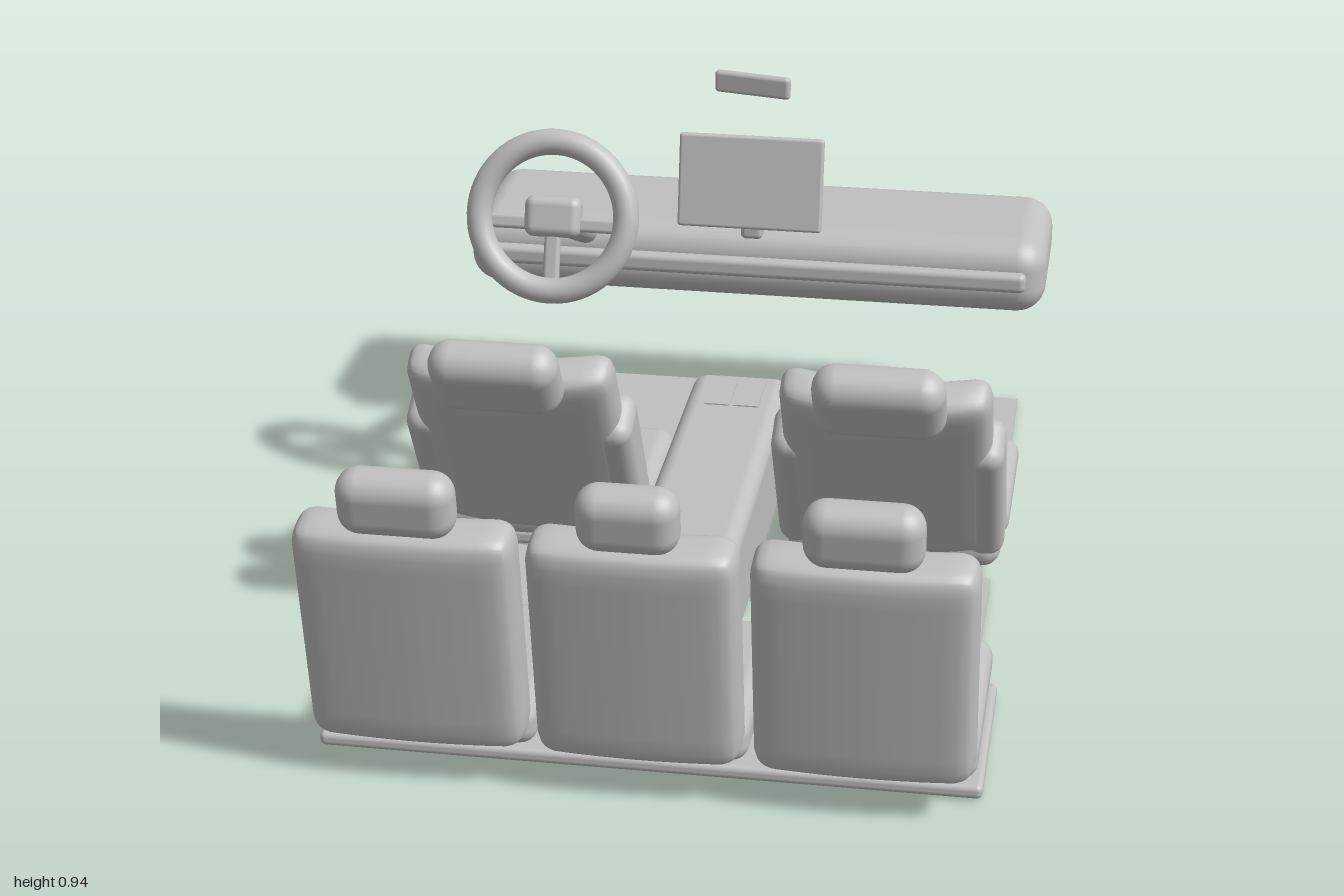
import * as THREE from 'three';
import { mergeVertices } from 'three/addons/utils/BufferGeometryUtils.js';
import { RoundedBoxGeometry } from 'three/addons/geometries/RoundedBoxGeometry.js';

const grey = new THREE.MeshStandardMaterial({ color: 0xc0c0c0 });
grey.name = 'light grey';

function add(parent, name, geometry, x, y, z, rx = 0, ry = 0) {
  const mesh = new THREE.Mesh(geometry, grey);
  mesh.name = name;
  mesh.position.set(x, y, z);
  mesh.rotation.set(rx, ry, 0);
  parent.add(mesh);
  return mesh;
}

const rbox = (w, h, d, r) => new RoundedBoxGeometry(w, h, d, 4, r);

// Rounded cushion whose side edges curve forward (towards -z)
function bentCushion(w, h, d, r, bend) {
  const box = new THREE.BoxGeometry(2, 2, 2, 16, 16, 12);
  box.deleteAttribute('uv');
  box.deleteAttribute('normal');
  const g = mergeVertices(box);
  const half = new THREE.Vector3(w / 2, h / 2, d / 2);
  const inner = half.clone().subScalar(r);
  const p = new THREE.Vector3(), q = new THREE.Vector3();
  const pos = g.attributes.position;
  const spread = (t) => Math.sin(t * Math.PI / 2);
  for (let i = 0; i < pos.count; i++) {
    p.fromBufferAttribute(pos, i);
    p.set(spread(p.x), spread(p.y), spread(p.z)).multiply(half);
    q.copy(p).clamp(inner.clone().negate(), inner);
    p.sub(q).setLength(r).add(q);
    pos.setXYZ(i, p.x, p.y, p.z - bend * p.x * p.x);
  }
  g.computeVertexNormals();
  return g;
}

// Round bar between two points
function rod(parent, name, a, b, r) {
  const path = new THREE.LineCurve3(new THREE.Vector3(...a), new THREE.Vector3(...b));
  const dir = path.v2.clone().sub(path.v1);
  const mesh = add(parent, name, new THREE.CylinderGeometry(r, r, dir.length(), 24), 0, 0, 0);
  path.getPoint(0.5, mesh.position);
  mesh.quaternion.setFromUnitVectors(new THREE.Vector3(0, 1, 0), dir.normalize());
}

function frontSeat(side) {
  const seat = new THREE.Group();
  seat.name = side > 0 ? 'leftFrontSeat' : 'rightFrontSeat';
  seat.position.x = side * 0.385;
  const tilt = 0.52;
  add(seat, 'seatBase', rbox(0.34, 0.035, 0.33, 0.012), 0, 0.0175, -0.262);
  add(seat, 'seatCushion', rbox(0.46, 0.09, 0.44, 0.04), 0, 0.075, -0.29);
  add(seat, 'cushionBolster', rbox(0.08, 0.07, 0.37, 0.03), side * 0.205, 0.135, -0.28);
  add(seat, 'seatBack', bentCushion(0.43, 0.535, 0.1, 0.04, 0.6), 0, 0.335, 0.08, tilt);
  for (const s of [-1, 1])
    add(seat, 'backBolster', rbox(0.08, 0.37, 0.125, 0.034), s * 0.2, 0.272, 0.006, tilt);
  add(seat, 'headrest', rbox(0.265, 0.175, 0.1, 0.048), 0, 0.59, 0.303, 0.6);
  return seat;
}

function rearBench() {
  const bench = new THREE.Group();
  bench.name = 'rearBench';
  add(bench, 'benchBase', rbox(1.29, 0.03, 0.4, 0.012), 0, 0.018, 0.595);
  for (const i of [-1, 0, 1]) {
    const x = i * 0.425, w = i ? 0.415 : 0.39;
    add(bench, 'rearCushion', rbox(w, 0.09, 0.435, 0.035), x, 0.075, 0.572);
    add(bench, 'rearBack', bentCushion(w, 0.49, 0.115, 0.04, 0.25), x, 0.327, 0.88, 0.165);
    add(bench, 'rearHeadrest', rbox(i ? 0.22 : 0.19, 0.13, 0.09, 0.043), x, 0.63, 0.949, 0.165);
  }
  return bench;
}

function steering() {
  const group = new THREE.Group();
  group.name = 'steering';
  const wheel = new THREE.Group();
  wheel.name = 'steeringWheel';
  wheel.position.set(-0.387, 0.705, -0.284);
  wheel.rotation.x = -0.31;
  add(wheel, 'wheelRim', new THREE.TorusGeometry(0.161, 0.028, 20, 64), 0, 0, 0);
  add(wheel, 'wheelHub', rbox(0.125, 0.09, 0.05, 0.022), 0, 0, -0.01);
  for (const s of [-1, 1])
    add(wheel, 'sideSpoke', rbox(0.11, 0.032, 0.022, 0.009), s * 0.1, -0.015, -0.01);
  add(wheel, 'lowerSpoke', rbox(0.035, 0.13, 0.022, 0.009), 0, -0.095, -0.01);
  group.add(wheel);
  rod(group, 'steeringColumn', [-0.387, 0.695, -0.29], [-0.387, 0.527, -0.65], 0.028);
  return group;
}

function dashboard() {
  const dash = new THREE.Group();
  dash.name = 'dashboard';
  add(dash, 'dashBody', rbox(1.325, 0.175, 0.37, 0.065), 0, 0.468, -0.815);
  add(dash, 'dashTrim', rbox(1.24, 0.045, 0.035, 0.014), 0, 0.472, -0.626);
  add(dash, 'screen', rbox(0.325, 0.21, 0.02, 0.007), 0, 0.688, -0.597, -0.21);
  add(dash, 'screenStand', rbox(0.05, 0.1, 0.045, 0.012), 0, 0.595, -0.63);
  return dash;
}

export function createModel() {
  const model = new THREE.Group();
  model.name = 'carInterior';
  model.add(frontSeat(1), frontSeat(-1), rearBench(), steering(), dashboard());

  // Centre console with two shallow pads on top
  add(model, 'console', rbox(0.22, 0.24, 0.86, 0.035), 0, 0.15, -0.063);
  for (const s of [-1, 1])
    add(model, 'consolePad', new THREE.BoxGeometry(0.055, 0.006, 0.14), s * 0.032, 0.27, -0.38);

  // Rear-view mirror, turned towards the driver
  add(model, 'mirror', rbox(0.175, 0.05, 0.02, 0.009), 0, 0.91, -0.622, 0, -0.2);
  add(model, 'mirrorMount', rbox(0.025, 0.025, 0.03, 0.008), 0, 0.91, -0.638);

  // Floor mats, front and rear on both sides
  for (const s of [-1, 1])
    for (const [z, d] of [[-0.763, 0.474], [0.135, 0.42]])
      add(model, 'floorMat', new THREE.BoxGeometry(0.43, 0.006, d), s * 0.383, 0.01, z);
  return model;
}
